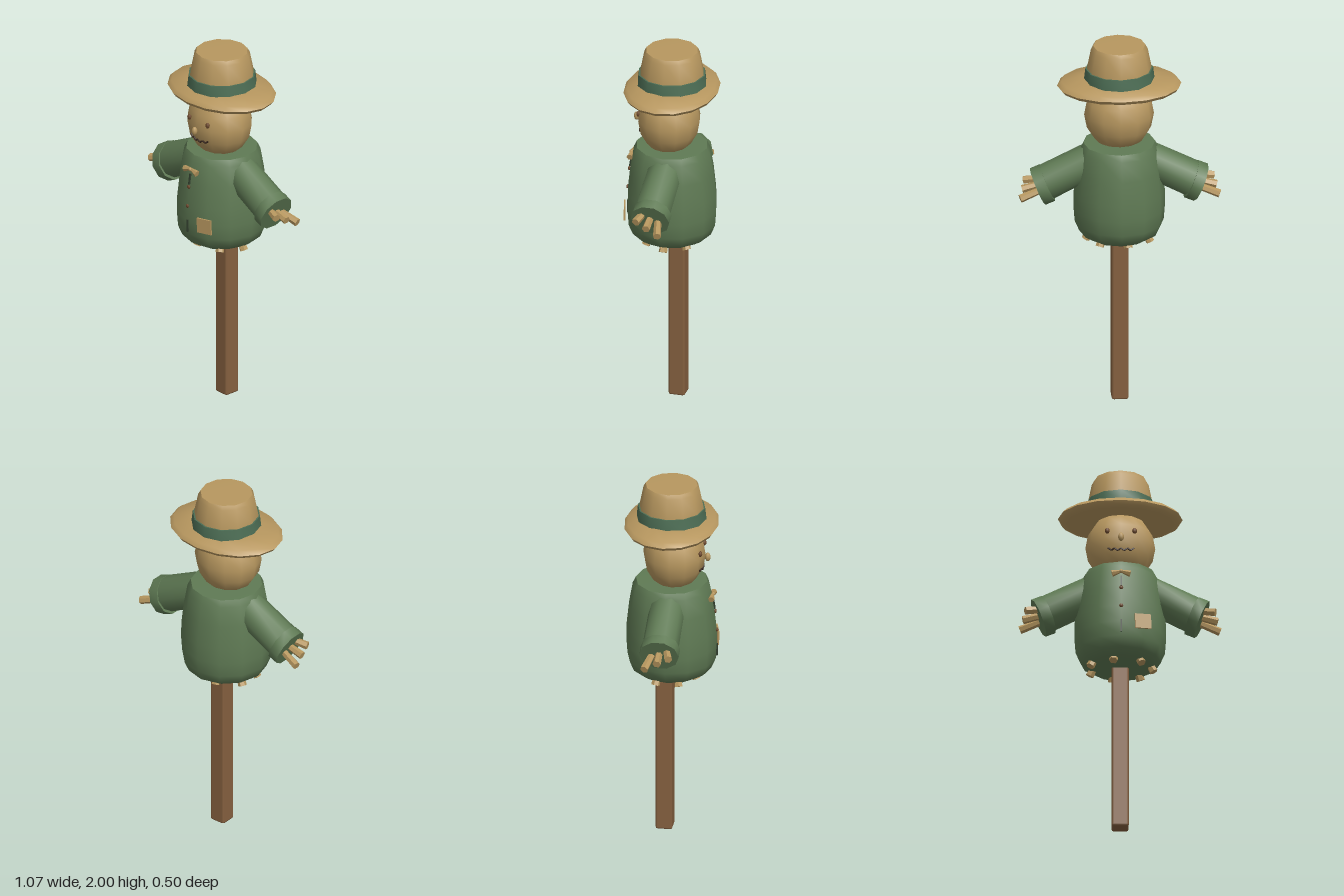
import * as THREE from 'three';
import { toCreasedNormals } from 'three/addons/utils/BufferGeometryUtils.js';
import { RoundedBoxGeometry } from 'three/addons/geometries/RoundedBoxGeometry.js';

const paint = (name, color) => {
  const m = new THREE.MeshStandardMaterial({ color });
  m.name = name;
  return m;
};

export function createModel() {
  const straw = paint('straw', 0xb7975f);
  const cloth = paint('green cloth', 0x5f7a54);
  const bandCloth = paint('hat band green', 0x4d6e55);
  const wood = paint('pole wood', 0x85603f);
  const brown = paint('button brown', 0x6e4a2e);
  const dark = paint('dark stitching', 0x3b2a20);
  const seam = paint('seam green', 0x33402f);

  const model = new THREE.Group();
  model.name = 'scarecrow';

  const add = (name, geometry, material, position = [0, 0, 0], parent = model) => {
    const mesh = new THREE.Mesh(geometry, material);
    mesh.name = name;
    mesh.position.set(...position);
    parent.add(mesh);
    return mesh;
  };
  // Turned part from a profile listed bottom to top
  const lathe = (profile, sides, crease = 0.75) => toCreasedNormals(
    new THREE.LatheGeometry(profile.map(([x, y]) => new THREE.Vector2(x, y)), sides), crease);
  // Cylinder running from one point to another
  const rod = (name, from, to, r0, r1, sides, material, parent = model) => {
    const a = new THREE.Vector3(...from), b = new THREE.Vector3(...to);
    const dir = b.clone().sub(a);
    const g = toCreasedNormals(new THREE.CylinderGeometry(r1, r0, dir.length(), sides), 0.9);
    const mesh = add(name, g, material, a.clone().add(b).multiplyScalar(0.5).toArray(), parent);
    mesh.quaternion.setFromUnitVectors(new THREE.Vector3(0, 1, 0), dir.normalize());
    return mesh;
  };
  const blob = (name, r, scale, position, material) => {
    const mesh = add(name, new THREE.SphereGeometry(r, 8, 6), material, position);
    mesh.scale.set(...scale);
    return mesh;
  };

  // Pole with bevelled edges
  add('pole', new RoundedBoxGeometry(0.09, 1.0, 0.09, 1, 0.012), wood, [0, 0.5, -0.036]);

  // Stuffed jacket
  add('jacket', lathe([[0, 0.915], [0.165, 0.915], [0.212, 0.945], [0.235, 1.0], [0.241, 1.08],
    [0.24, 1.17], [0.226, 1.3], [0.207, 1.41], [0.19, 1.445], [0, 1.45]], 12), cloth);

  // Straw tufts around the hem
  for (let i = 0; i < 7; i++) {
    const t = (i / 7) * Math.PI * 2, c = Math.cos(t), s = Math.sin(t);
    rod('hemStraw', [c * 0.15, 0.945, s * 0.12], [c * 0.177, 0.895, s * 0.143], 0.02, 0.023, 6, straw);
  }

  // Arms, cuffs and straw fingers
  for (const side of [-1, 1]) {
    const arm = new THREE.Group();
    arm.name = side > 0 ? 'leftArm' : 'rightArm';
    model.add(arm);
    rod('sleeve', [side * 0.11, 1.365, 0], [side * 0.425, 1.205, 0], 0.094, 0.097, 10, cloth, arm);
    rod('cuff', [side * 0.378, 1.222, 0], [side * 0.43, 1.2, 0], 0.105, 0.105, 10, cloth, arm);
    [[0.5, 1.215, 0.06], [0.512, 1.188, 0], [0.526, 1.16, -0.065]].forEach(([x, y, z]) =>
      rod('strawFinger', [side * 0.4, 1.235 - (1.215 - y) * 0.6, z * 0.55], [side * x, y, z],
        0.018, 0.022, 6, straw, arm));
  }

  // Head and face
  add('head', new THREE.SphereGeometry(1, 12, 8), straw, [0, 1.6, 0.015]).scale.set(0.184, 0.195, 0.166);
  for (const side of [-1, 1]) {
    blob('eye', 0.013, [1, 1.25, 0.8], [side * 0.072, 1.635, 0.164], brown);
  }
  blob('nose', 0.016, [1, 1.5, 1], [0, 1.587, 0.192], straw);
  const mouth = new THREE.CurvePath();
  const stitch = i => {
    const x = -0.068 + i * 0.017;
    const y = 1.527 + (i % 2 ? -0.007 : 0.005) + x * x * 1.6;
    return new THREE.Vector3(x, y, 0.169 - x * x * 3.4);
  };
  for (let i = 0; i < 8; i++) mouth.add(new THREE.LineCurve3(stitch(i), stitch(i + 1)));
  add('stitchedMouth', new THREE.TubeGeometry(mouth, 32, 0.005, 5), dark);

  // Hat
  const hat = new THREE.Group();
  hat.name = 'hat';
  model.add(hat);
  add('brim', lathe([[0, 1.748], [0.275, 1.748], [0.312, 1.756], [0.328, 1.775], [0.305, 1.797],
    [0.19, 1.812], [0, 1.812]], 16, 1.2), straw, [0, 0, 0], hat).scale.z = 0.76;
  add('crown', lathe([[0, 1.79], [0.176, 1.79], [0.171, 1.87], [0.15, 1.975], [0.138, 1.997],
    [0, 2.0]], 12), straw, [0, 0, 0], hat);
  add('hatBand', lathe([[0.17, 1.808], [0.186, 1.808], [0.179, 1.868], [0.16, 1.868]], 12),
    bandCloth, [0, 0, 0], hat);

  // Jacket front: seam, buttons, bow and patch
  add('upperSeam', new THREE.BoxGeometry(0.009, 0.06, 0.009), seam, [0, 1.318, 0.225]).rotation.x = -0.15;
  add('lowerSeam', new THREE.BoxGeometry(0.009, 0.07, 0.009), seam, [0, 1.052, 0.24]);
  for (const [y, z] of [[1.275, 0.233], [1.167, 0.242]]) {
    blob('button', 0.011, [1, 1, 0.6], [0, y, z], brown);
  }
  for (const side of [-1, 1]) {
    rod('bowLoop', [0, 1.375, 0.219], [side * 0.048, 1.362, 0.217], 0.007, 0.018, 6, straw);
  }
  blob('bowKnot', 0.011, [1, 1, 1], [0, 1.374, 0.222], straw);
  const patch = add('patch', new THREE.BoxGeometry(0.088, 0.082, 0.009), straw, [0.115, 1.083, 0.226]);
  patch.rotation.set(0, 0.26, 0.05);

  return model;
}
